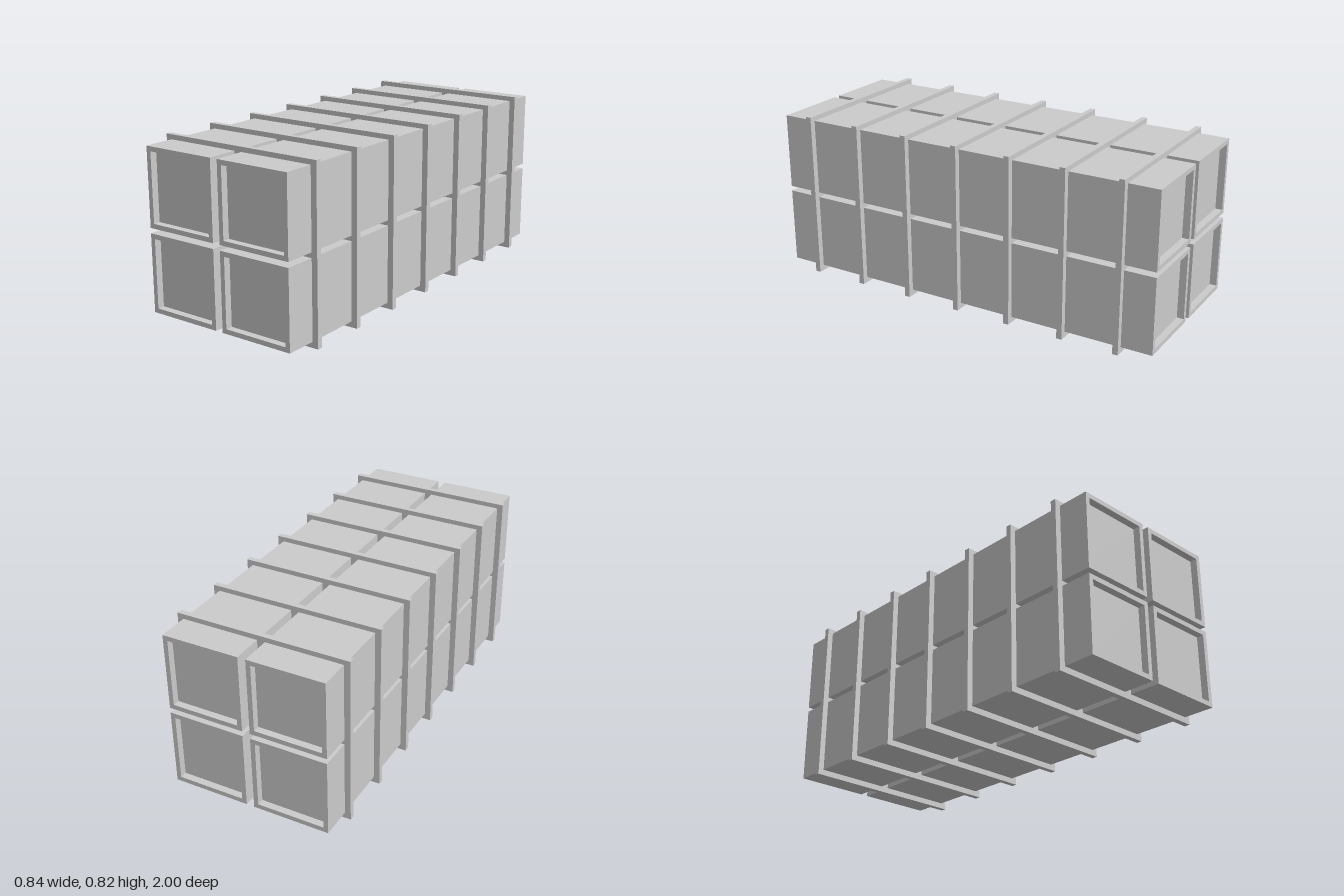
import * as THREE from 'three';

const SIZE = 0.372;    // outer width and height of a duct
const WALL = 0.0225;   // duct wall thickness
const LENGTH = 2;
const RECESS = 0.034;  // depth of the end panels inside the rim

function squarePath(PathType, half) {
  const p = new PathType();
  p.moveTo(-half, -half);
  p.lineTo(half, -half);
  p.lineTo(half, half);
  p.lineTo(-half, half);
  p.closePath();
  return p;
}

export function createModel() {
  const model = new THREE.Group();
  const material = new THREE.MeshStandardMaterial({ color: 0xcccccc, flatShading: true });

  const add = (parent, name, geometry, x, y, z) => {
    const mesh = new THREE.Mesh(geometry, material);
    mesh.name = name;
    mesh.position.set(x, y, z);
    parent.add(mesh);
  };

  // Hollow square duct shell and the panel closing each end
  const profile = squarePath(THREE.Shape, SIZE / 2);
  profile.holes.push(squarePath(THREE.Path, SIZE / 2 - WALL));
  const shell = new THREE.ExtrudeGeometry(profile, { depth: LENGTH, bevelEnabled: false });
  shell.translate(0, 0, -LENGTH / 2);
  const panelSize = SIZE - 2 * WALL;
  const panelDepth = 0.02;
  const panel = new THREE.BoxGeometry(panelSize, panelSize, panelDepth);

  // Two by two stack of ducts
  for (const x of [-0.205, 0.205]) {
    for (const y of [0.214, 0.611]) {
      const duct = new THREE.Group();
      duct.name = (y > 0.4 ? 'upper' : 'lower') + (x > 0 ? 'Left' : 'Right') + 'Duct';
      duct.position.set(x, y, 0);
      add(duct, 'ductShell', shell, 0, 0, 0);
      for (const side of [-1, 1]) {
        const z = side * (LENGTH / 2 - RECESS - panelDepth / 2);
        add(duct, side > 0 ? 'frontPanel' : 'backPanel', panel, 0, 0, z);
      }
      model.add(duct);
    }
  }

  // Seven evenly spaced support plates around the ducts
  const plate = new THREE.BoxGeometry(0.84, 0.82, 0.027);
  for (let i = -3; i <= 3; i++) add(model, 'supportPlate', plate, 0, 0.41, i * 0.2785);

  return model;
}
